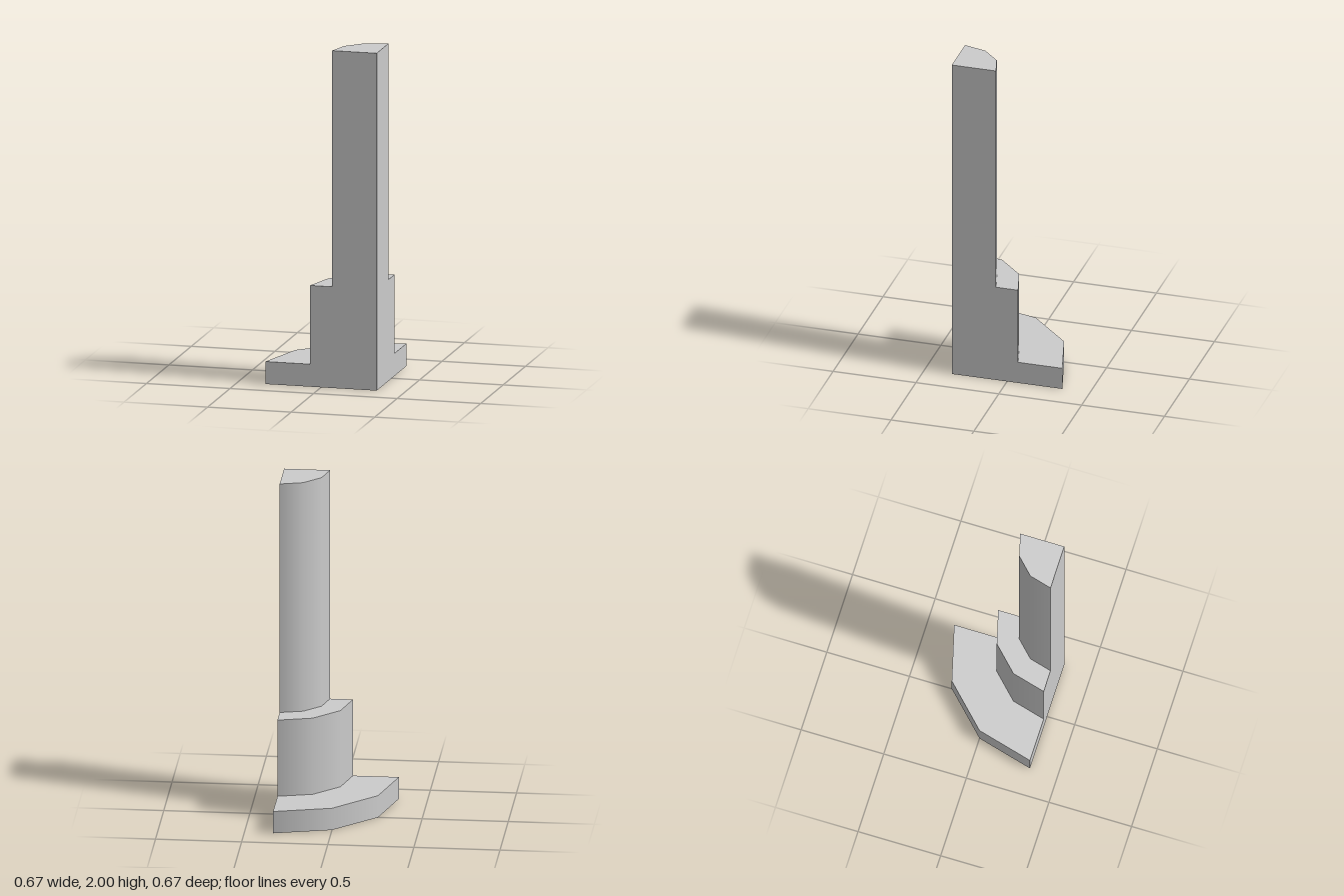
import * as THREE from 'three';

// Quarter of a stepped round pillar, cut along two planes meeting at its axis.
const AXIS = 1 / 3;
const SEGMENTS = 3;
const QUARTER = Math.PI / 2;
const TIERS = [
  { name: 'base', radius: 2 / 3, bottom: 0, top: 0.1333 },
  { name: 'collar', radius: 0.4, bottom: 0.1333, top: 0.6 },
  { name: 'shaft', radius: 0.2667, bottom: 0.6, top: 2 },
];

export function createModel() {
  const model = new THREE.Group();
  model.name = 'quarterPillar';
  const material = new THREE.MeshStandardMaterial({ color: 0xcccccc });
  const add = (name, geometry) => {
    const mesh = new THREE.Mesh(geometry, material);
    mesh.name = name;
    mesh.position.x += AXIS;
    mesh.position.z += AXIS;
    model.add(mesh);
    return mesh;
  };

  // Curved wall and exposed top of each tier
  TIERS.forEach(({ name, radius, bottom, top }, i) => {
    const height = top - bottom;
    const wall = new THREE.CylinderGeometry(
      radius, radius, height, SEGMENTS, 1, true, Math.PI, QUARTER);
    add(name + 'Wall', wall.translate(0, bottom + height / 2, 0));

    const next = TIERS[i + 1];
    const cap = next
      ? new THREE.RingGeometry(next.radius, radius, SEGMENTS, 1, QUARTER, QUARTER)
      : new THREE.CircleGeometry(radius, SEGMENTS, QUARTER, QUARTER);
    add(name + 'Top', cap.rotateX(-Math.PI / 2).translate(0, top, 0));
  });

  // Underside
  add('underside', new THREE.CircleGeometry(TIERS[0].radius, SEGMENTS, Math.PI, QUARTER)
    .rotateX(Math.PI / 2));

  // Flat cut faces share one stepped profile, extending to the given side of the axis
  const cutFace = (side) => {
    const points = [new THREE.Vector2(0, 0)];
    for (const { radius, bottom, top } of TIERS) {
      points.push(new THREE.Vector2(side * radius, bottom), new THREE.Vector2(side * radius, top));
    }
    points.push(new THREE.Vector2(0, 2));
    return new THREE.ShapeGeometry(new THREE.Shape(points));
  };
  add('frontCutFace', cutFace(-1));
  add('leftCutFace', cutFace(1).rotateY(Math.PI / 2));

  return model;
}
